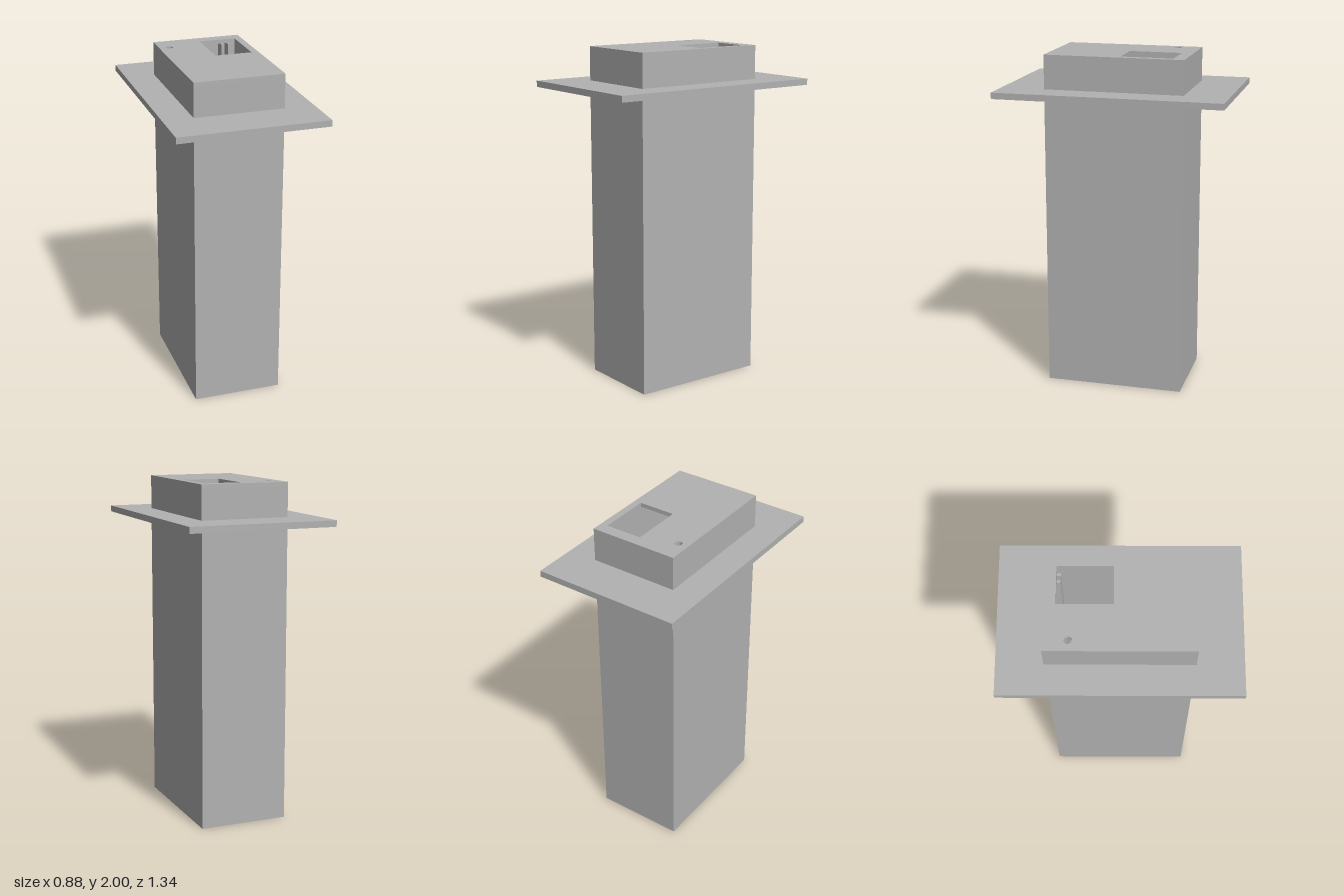
import * as THREE from 'three';

const W = 0.264, D = 0.41, T = 0.025; // half width, half depth, wall thickness

// Traces a rectangle on a Shape or Path, in plan (plan y = -z)
function rect(path, x0, x1, z0, z1) {
  path.moveTo(x0, -z1);
  path.lineTo(x1, -z1);
  path.lineTo(x1, -z0);
  path.lineTo(x0, -z0);
  path.closePath();
  return path;
}

const centred = (path, hx, hz) => rect(path, -hx, hx, -hz, hz);

export function createModel() {
  const group = new THREE.Group();
  const grey = new THREE.MeshStandardMaterial({ color: 0xb2b2b2 });
  grey.name = 'grey plastic';

  // Extrudes a plan outline upward between two heights
  const slab = (name, shape, holes, y0, y1) => {
    shape.holes.push(...holes);
    const geo = new THREE.ExtrudeGeometry(shape, {
      depth: y1 - y0, bevelEnabled: false, curveSegments: 16,
    });
    geo.rotateX(-Math.PI / 2).translate(0, y0, 0);
    const mesh = new THREE.Mesh(geo, grey);
    mesh.name = name;
    group.add(mesh);
  };

  // Hollow shaft, open at the bottom
  slab('shaftWalls', centred(new THREE.Shape(), W, D),
    [centred(new THREE.Path(), W - T, D - T)], 0, 2 - T);

  // Top panel with a rectangular window and a small round hole
  const roundHole = new THREE.Path();
  roundHole.absarc(-0.203, 0.273, 0.021, 0, Math.PI * 2);
  slab('topPanel', centred(new THREE.Shape(), W, D),
    [rect(new THREE.Path(), 0.003, 0.222, -0.341, -0.033), roundHole], 2 - T, 2);

  // Mounting flange around the shaft
  slab('flange', centred(new THREE.Shape(), 0.44, 0.67),
    [centred(new THREE.Path(), W, D)], 1.763, 1.8);

  // Paired guide rails on the inside of the back wall
  for (const x of [-0.142, -0.101, 0.142, 0.183]) {
    slab('guideRail', rect(new THREE.Shape(), x - 0.009, x + 0.009, -D + T, -0.318),
      [], 1, 2 - T);
  }
  return group;
}
